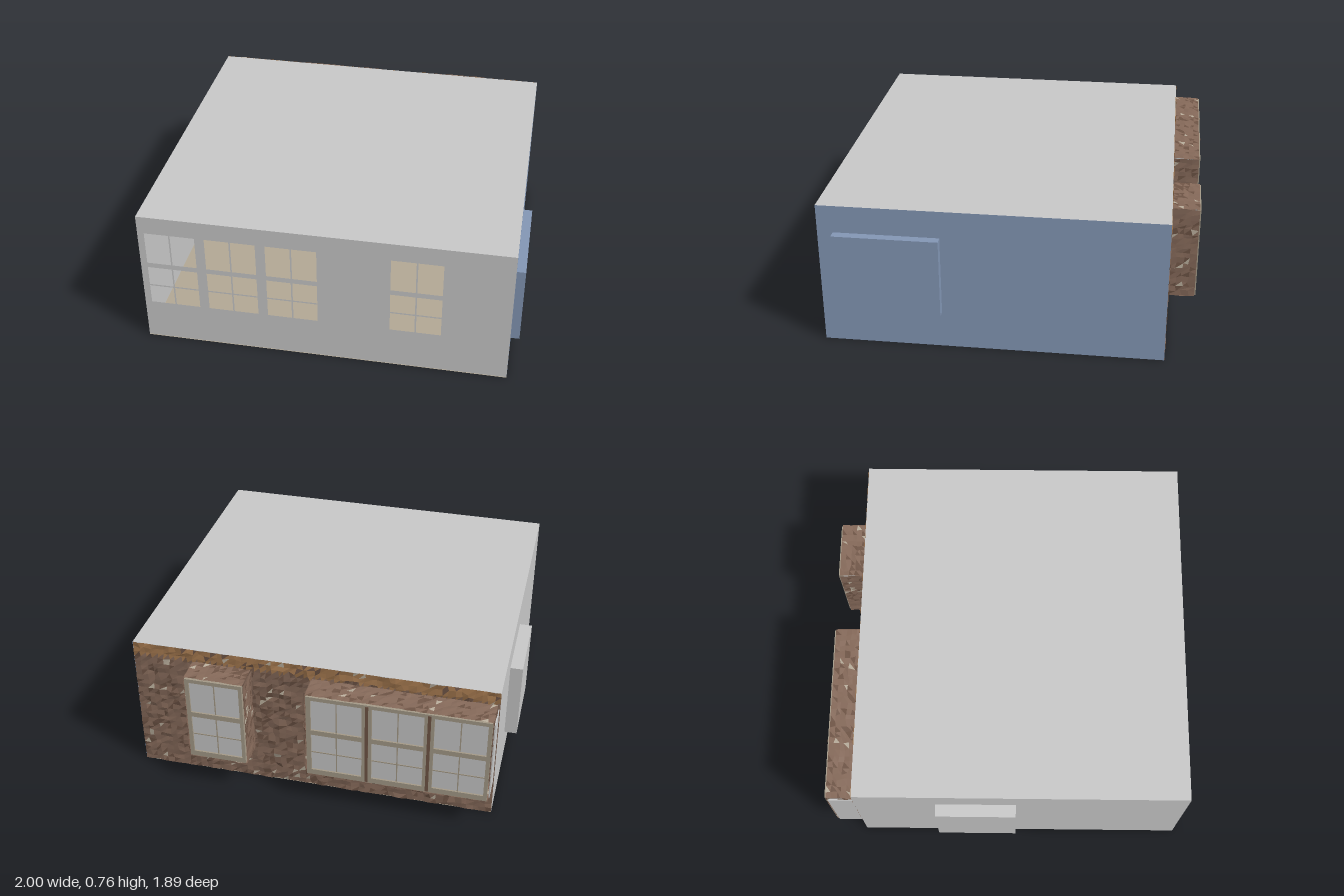
import * as THREE from 'three';

const mat = (name, color, side = THREE.FrontSide) => {
  const m = new THREE.MeshStandardMaterial({ color, side });
  m.name = name;
  return m;
};

export function createModel() {
  const room = new THREE.Group();
  room.name = 'room';
  const grey = mat('greyPlaster', 0xc8c8c8, THREE.DoubleSide);
  const blue = mat('bluePaint', 0x8397b5, THREE.DoubleSide);
  const tan = mat('tanFloor', 0xb2a894, THREE.DoubleSide);
  const stone = mat('brownStone', 0x866a5a, THREE.DoubleSide);
  const darkStone = mat('darkStone', 0x6f5546, THREE.DoubleSide);
  const cream = mat('creamFlecks', 0xb9ae9c, THREE.DoubleSide);
  const ochre = mat('ochreBand', 0xa67a50, THREE.DoubleSide);
  const trim = mat('windowTrim', 0xa49a88);
  for (const m of [stone, darkStone, cream, ochre]) m.flatShading = true;

  const X0 = -0.935, X1 = 0.955, Z0 = -0.8, Z1 = 0.94, H = 0.765;
  const W = X1 - X0, D = Z1 - Z0, CX = (X0 + X1) / 2, CZ = (Z0 + Z1) / 2;

  const add = (name, geo, material, x = 0, y = 0, z = 0, rx = 0, ry = 0, parent = room) => {
    const m = new THREE.Mesh(geo, material);
    m.name = name;
    m.position.set(x, y, z);
    m.rotation.set(rx, ry, 0);
    parent.add(m);
    return m;
  };
  const box = (name, material, x0, x1, y0, y1, z0, z1, parent = room) =>
    add(name, new THREE.BoxGeometry(x1 - x0, y1 - y0, z1 - z0), material,
      (x0 + x1) / 2, (y0 + y1) / 2, (z0 + z1) / 2, 0, 0, parent);
  const trace = (path, x0, x1, y0, y1) =>
    path.moveTo(x0, y0).lineTo(x1, y0).lineTo(x1, y1).lineTo(x0, y1).closePath();

  // Shell: floor, ceiling and plain walls
  add('floor', new THREE.PlaneGeometry(W, D), tan, CX, 0.001, CZ, -Math.PI / 2);
  add('roof', new THREE.PlaneGeometry(W, D), grey, CX, H, CZ, -Math.PI / 2);
  add('rightHandWall', new THREE.PlaneGeometry(D, H), blue, X1, H / 2, CZ, 0, Math.PI / 2);
  add('leftHandWall', new THREE.PlaneGeometry(D, H), grey, X0, H / 2, CZ, 0, -Math.PI / 2);
  add('innerBackWall', new THREE.PlaneGeometry(W, H), grey, CX, H / 2, Z0 + 0.008);

  // Shallow raised panels on the side walls
  box('bluePanel', blue, X1, 1, 0.2, 0.62, 0.325, 0.86);
  box('greyPanel', grey, -1, X0, 0.2, 0.62, -0.375, 0.045);

  // Front wall with six open panes per window
  const windows = [-0.77, -0.46, -0.15, 0.48];
  const rows = [[0.23, 0.337], [0.345, 0.455], [0.483, 0.667]];
  const front = new THREE.Shape();
  trace(front, X0, X1, 0.005, H);
  for (const x of windows) for (const [y0, y1] of rows) for (const s of [-1, 1]) {
    const a = x + s * 0.004, b = x + s * 0.13;
    const hole = new THREE.Path();
    trace(hole, Math.min(a, b), Math.max(a, b), y0, y1);
    front.holes.push(hole);
  }
  add('frontWall', new THREE.ShapeGeometry(front), grey, 0, 0, Z1);

  // Rough masonry sheet: seeded bumps, triangles sorted into colour groups
  let seed = 7;
  const rand = () => {
    seed = (seed * 16807) % 2147483647;
    return seed / 2147483647;
  };
  const palette = [stone, darkStone, cream, ochre];
  function roughSheet(w, h, depth, topBand = 0) {
    const nx = Math.max(3, Math.round(w / 0.032)), ny = Math.max(3, Math.round(h / 0.028));
    const g = new THREE.PlaneGeometry(w, h, nx, ny);
    const p = g.attributes.position;
    for (let i = 0; i < p.count; i++) {
      const edgeX = Math.abs(p.getX(i)) > w / 2 - 0.001, edgeY = Math.abs(p.getY(i)) > h / 2 - 0.001;
      p.setZ(i, rand() * depth);
      if (!edgeX) p.setX(i, p.getX(i) + (rand() - 0.5) * 0.016);
      if (!edgeY) p.setY(i, p.getY(i) + (rand() - 0.5) * 0.014);
    }
    const lists = palette.map(() => []);
    const idx = g.index.array;
    for (let i = 0; i < idx.length; i += 3) {
      const y = p.getY(idx[i]);
      const r = rand();
      let k = r < 0.04 ? 2 : r < 0.2 ? 1 : 0;
      if (topBand && y > h / 2 - topBand - rand() * 0.02 && r > 0.12) k = 3;
      lists[k].push(idx[i], idx[i + 1], idx[i + 2]);
    }
    g.setIndex(lists.flat());
    let start = 0;
    lists.forEach((l, k) => {
      g.addGroup(start, l.length, k);
      start += l.length;
    });
    g.computeVertexNormals();
    return g;
  }
  add('stoneBackWall', roughSheet(W, H, 0.009, 0.06), palette, CX, H / 2, Z0 + 0.004, 0, Math.PI);

  // Projecting stone bays with framed windows on the back
  const BZ = -0.925, FZ = -0.945, Y0 = 0.195, Y1 = 0.69;
  function bay(name, x0, x1, centres) {
    const g = new THREE.Group();
    g.name = name;
    room.add(g);
    const w = x1 - x0, d = Z0 - FZ - 0.006, cx = (x0 + x1) / 2, cy = (Y0 + Y1) / 2, cz = Z0 - d / 2;
    add('bayTop', roughSheet(w, d, 0.005), palette, cx, Y1, cz, -Math.PI / 2, 0, g);
    add('bayUnderside', roughSheet(w, d, 0.005), palette, cx, Y0, cz, Math.PI / 2, 0, g);
    add('bayLeftSide', roughSheet(d, Y1 - Y0, 0.005), palette, x1, cy, cz, 0, Math.PI / 2, g);
    add('bayRightSide', roughSheet(d, Y1 - Y0, 0.005), palette, x0, cy, cz, 0, -Math.PI / 2, g);
    box('panes', grey, x0 + 0.01, x1 - 0.01, Y0 + 0.01, Y1 - 0.01, FZ + 0.009, BZ, g);

    // Frame with an upper and a lower opening per window
    const frame = new THREE.Shape();
    trace(frame, x0 + 0.004, x1 - 0.004, Y0 + 0.004, Y1 - 0.002);
    for (const c of centres) for (const [a, b] of [[0.23, 0.455], [0.483, 0.667]]) {
      const hole = new THREE.Path();
      trace(hole, c - 0.13, c + 0.13, a, b);
      frame.holes.push(hole);
    }
    add('frame', new THREE.ExtrudeGeometry(frame, { depth: BZ - FZ, bevelEnabled: false }), trim, 0, 0, FZ, 0, 0, g);
    for (const c of centres) {
      box('glazingBar', trim, c - 0.003, c + 0.003, 0.23, 0.667, FZ + 0.006, BZ, g);
      box('lowerGlazingBar', trim, c - 0.13, c + 0.13, 0.338, 0.344, FZ + 0.006, BZ, g);
    }
    // Dark stone joints between neighbouring windows
    for (let i = 1; i < centres.length; i++) {
      const m = (centres[i - 1] + centres[i]) / 2;
      box('joint', darkStone, m - 0.008, m + 0.008, Y0 + 0.01, Y1 - 0.01, FZ - 0.003, FZ + 0.003, g);
    }
    return g;
  }
  const wide = bay('wideBay', -0.923, 0.008, windows.slice(0, 3));
  bay('narrowBay', 0.328, 0.635, windows.slice(3));
  box('bayEndPlate', grey, -0.931, -0.925, 0.21, 0.67, -0.93, Z0, wide);

  return room;
}
